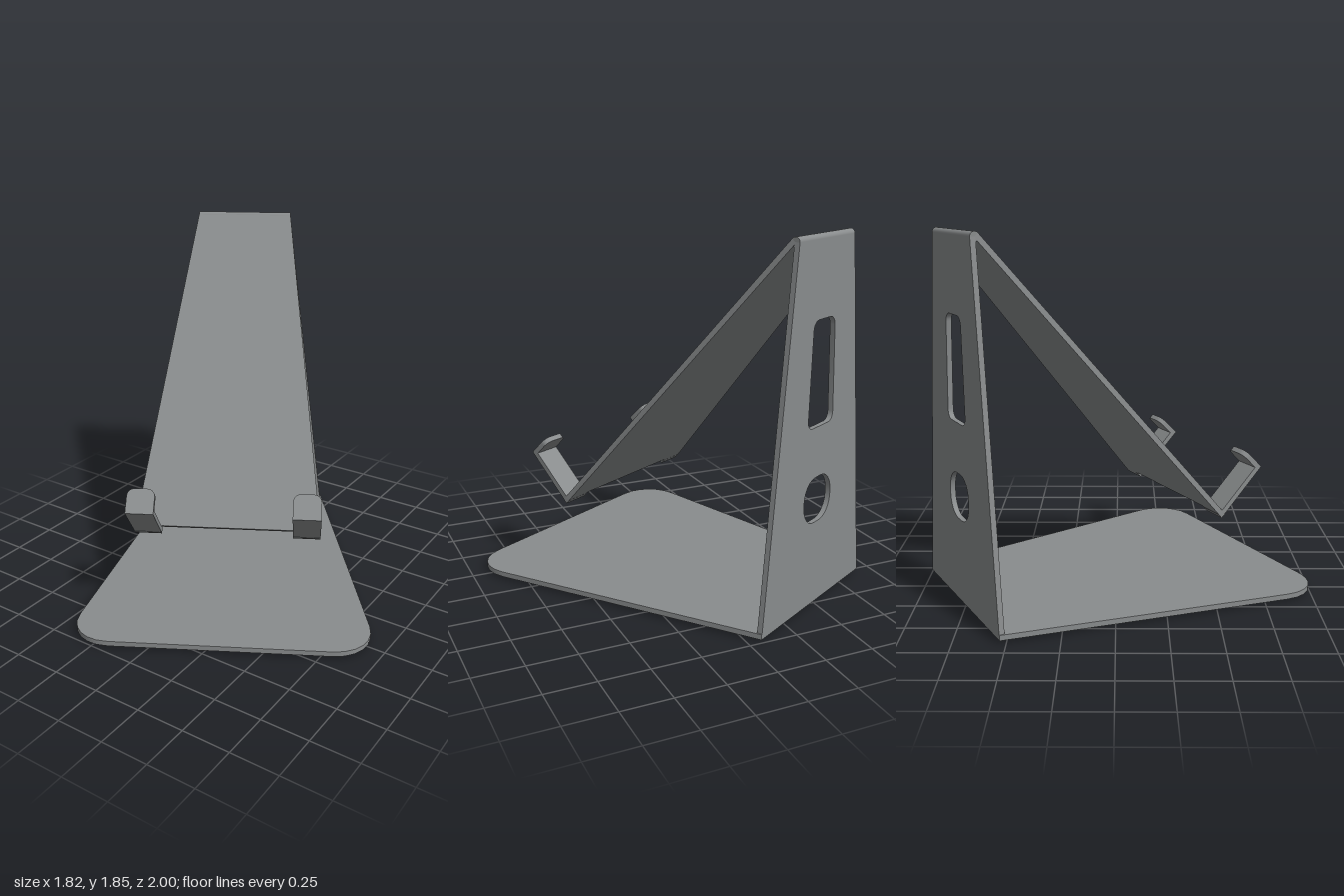
import * as THREE from 'three';
import { toCreasedNormals } from 'three/addons/utils/BufferGeometryUtils.js';

const T = 0.027; // sheet thickness
const metal = new THREE.MeshStandardMaterial({ color: 0x898c8d });
const rubber = new THREE.MeshStandardMaterial({ color: 0x050505 });

// Polygon from [x, y, cornerLength] points; a corner length rounds that corner.
function outline(points, path = new THREE.Shape()) {
  const n = points.length;
  points.forEach(([x, y, c = 0], i) => {
    const p = new THREE.Vector2(x, y);
    const toward = (q, d) => new THREE.Vector2(q[0], q[1]).sub(p).setLength(d).add(p);
    const a = toward(points[(i + n - 1) % n], c);
    const b = toward(points[(i + 1) % n], c);
    if (i === 0) path.moveTo(a.x, a.y);
    else path.lineTo(a.x, a.y);
    if (c > 0) {
      const h1 = a.clone().lerp(p, 0.55), h2 = b.clone().lerp(p, 0.55);
      path.bezierCurveTo(h1.x, h1.y, h2.x, h2.y, b.x, b.y);
    }
  });
  path.closePath();
  return path;
}

// Flat sheet whose outer face passes through (y, z), tilted about the x axis.
function sheet(name, shape, tilt, x, y, z) {
  const geo = new THREE.ExtrudeGeometry(shape, { depth: T, bevelEnabled: false, curveSegments: 6 });
  geo.translate(0, 0, -T);
  const mesh = new THREE.Mesh(toCreasedNormals(geo, 0.5), metal);
  mesh.name = name;
  mesh.rotation.x = tilt;
  mesh.position.set(x, y, z);
  return mesh;
}

export function createModel() {
  const model = new THREE.Group();
  model.name = 'tabletStand';
  const stand = new THREE.Group();
  stand.name = 'standBody';
  stand.rotation.y = THREE.MathUtils.degToRad(28.8);
  stand.position.set(-0.05, 0, 0.029);
  model.add(stand);

  // Base plate, flaring to a rounded front
  const base = outline([
    [-0.486, 0.905], [-0.785, -0.77, 0.23], [0.785, -0.77, 0.23], [0.486, 0.905],
  ]);
  stand.add(sheet('basePlate', base, -Math.PI / 2, 0, 0.042, 0));

  // Upright back with cable slot and round hole
  const back = outline([[-0.486, 0.016], [0.486, 0.016], [0.262, 1.83], [-0.262, 1.83]]);
  back.holes.push(outline([
    [-0.122, 0.94, 0.045], [-0.1, 1.46, 0.045], [0.1, 1.46, 0.045], [0.122, 0.94, 0.045],
  ], new THREE.Path()));
  back.holes.push(outline([
    [-0.13, 0.45, 0.105], [-0.13, 0.684, 0.105], [0.13, 0.684, 0.105], [0.13, 0.45, 0.105],
  ], new THREE.Path()));
  stand.add(sheet('uprightBack', back, 0, 0, 0, -0.905 + T));

  // Sloping rest panel with a short tongue at each hook
  const rest = outline([
    [-0.483, -0.035], [-0.342, -0.035], [-0.342, 0], [0.342, 0], [0.342, -0.035],
    [0.483, -0.035], [0.483, 0], [0.262, 1.825], [-0.262, 1.825], [-0.483, 0],
  ]);
  stand.add(sheet('restPanel', rest, -Math.atan2(1.182, 1.405), 0, 0.448, 0.31));

  // Rounded fold along the top edge, tangent to both sheets
  const fold = new THREE.Mesh(new THREE.CylinderGeometry(0.023, 0.023, 0.524, 24), metal);
  fold.name = 'topFold';
  fold.rotation.z = Math.PI / 2;
  fold.position.set(0, 1.83, -0.882);
  stand.add(fold);

  // Hooks: a lip leaving the panel and an upturned rounded tab
  const w = 0.0705;
  const lip = outline([[-w, 0], [w, 0], [w, 0.335], [-w, 0.335]]);
  const tab = outline([[-w, 0], [w, 0], [w, 0.132, 0.04], [-w, 0.132, 0.04]]);
  for (const [side, s] of [['left', 1], ['right', -1]]) {
    const hook = new THREE.Group();
    hook.name = side + 'Hook';
    hook.add(sheet(side + 'HookLip', lip, Math.PI / 4, s * 0.4125, 0.405, 0.313));
    hook.add(sheet(side + 'HookTab', tab, -Math.PI / 4, s * 0.4125, 0.642, 0.55));
    stand.add(hook);

    // Round feet under the base corners
    for (const [end, x, z] of [['Back', 0.422, -0.838], ['Front', 0.6, 0.631]]) {
      const foot = new THREE.Mesh(new THREE.CylinderGeometry(0.042, 0.042, 0.016, 24), rubber);
      foot.name = side + end + 'Foot';
      foot.position.set(s * x, 0.008, z);
      stand.add(foot);
    }
  }
  return model;
}
